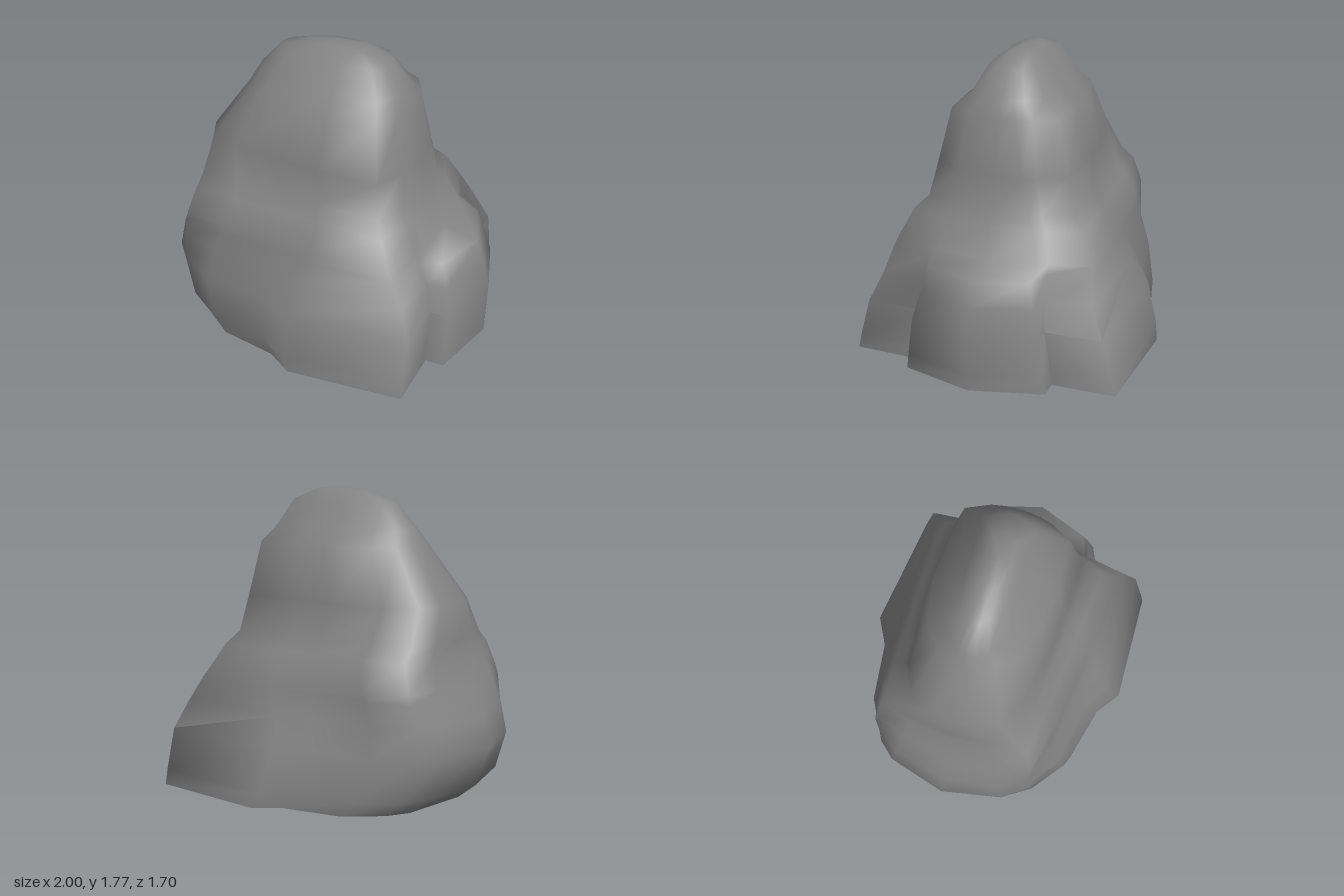
import * as THREE from 'three';
import { toCreasedNormals } from 'three/addons/utils/BufferGeometryUtils.js';

// Skin stacked rings of [x, y, z] points (counter-clockwise from above) and close the top.
function loft(rings, apex, crease) {
  const n = rings[0].length;
  const geometry = new THREE.BufferGeometry();
  const index = [];
  for (let r = 0; r < rings.length - 1; r++) {
    for (let i = 0; i < n; i++) {
      const a = r * n + i, b = r * n + (i + 1) % n;
      index.push(a, b, b + n, a, b + n, a + n);
    }
  }
  const top = (rings.length - 1) * n;
  for (let i = 0; i < n; i++) index.push(top + i, top + (i + 1) % n, rings.length * n);
  geometry.setAttribute('position', new THREE.Float32BufferAttribute([...rings.flat(), apex].flat(), 3));
  geometry.setIndex(index);
  return toCreasedNormals(geometry, crease);
}

// Half outlines from left to right as [share of width, share of depth]
const foot = [[0.05, 0.48], [0.1, 0.62], [0.23, 0.8], [0.45, 0.88], [0.55, 1], [0.995, 0.94], [1, 0.5], [1, 0.5]];
const waist = [[0.01, 0.5], [0.05, 0.88], [0.24, 0.93], [0.48, 0.95], [0.63, 0.97], [0.91, 1], [0.965, 0.62], [0.99, 0.5]];
const crest = [[0.01, 0.22], [0.06, 0.5], [0.16, 0.8], [0.43, 1], [0.62, 1], [0.9, 0.95], [0.97, 0.55], [0.99, 0.3]];

// Closed outline at one height, blended foot (0) to waist (1) to crest (2); the back mirrors the front.
// The ledge pushes out a pointed slab from the middle of the right end.
function outline([y, left, right, depth, blend, ledge = 0]) {
  const mix = THREE.MathUtils.lerp;
  const [from, to] = blend < 1 ? [foot, waist] : [waist, crest];
  const t = blend < 1 ? blend : blend - 1;
  const front = from.map(([u, w], i) => [
    mix(left, right, mix(u, to[i][0], t)), y, depth * mix(w, to[i][1], t),
  ]);
  front[front.length - 1][0] += ledge / 2;
  const back = front.map(([x, , z]) => [x, y, -z]).reverse();
  return [[left, y, 0], ...front, [right + ledge, y, 0], ...back];
}

export function createModel() {
  const group = new THREE.Group();
  group.name = 'rock';

  // Boulder, open underneath: height, left end, right end, half depth, blend, ledge
  const levels = [
    [0, -0.8, 0.77, 0.85, 0, 0.22],
    [0.09, -0.91, 0.77, 0.83, 0, 0.22],
    [0.33, -1, 0.77, 0.76, 0, 0.23],
    [0.5, -0.955, 0.75, 0.67, 0.3, 0.21],
    [0.64, -0.88, 0.72, 0.62, 0.7, 0.19],
    [0.69, -0.855, 0.7, 0.6, 0.8],
    [0.85, -0.785, 0.63, 0.52, 1],
    [0.92, -0.775, 0.58, 0.45, 1.1],
    [1.13, -0.755, 0.55, 0.41, 1.6],
    [1.45, -0.53, 0.485, 0.34, 2],
    [1.54, -0.48, 0.435, 0.23, 2],
    [1.69, -0.345, 0.335, 0.15, 2],
    [1.75, -0.15, 0.19, 0.075, 2],
  ];
  const stone = new THREE.MeshStandardMaterial({ color: 0x848484, side: THREE.DoubleSide });
  const boulder = new THREE.Mesh(loft(levels.map(outline), [0.06, 1.77, 0], 1.5), stone);
  boulder.name = 'boulder';
  group.add(boulder);

  return group;
}
